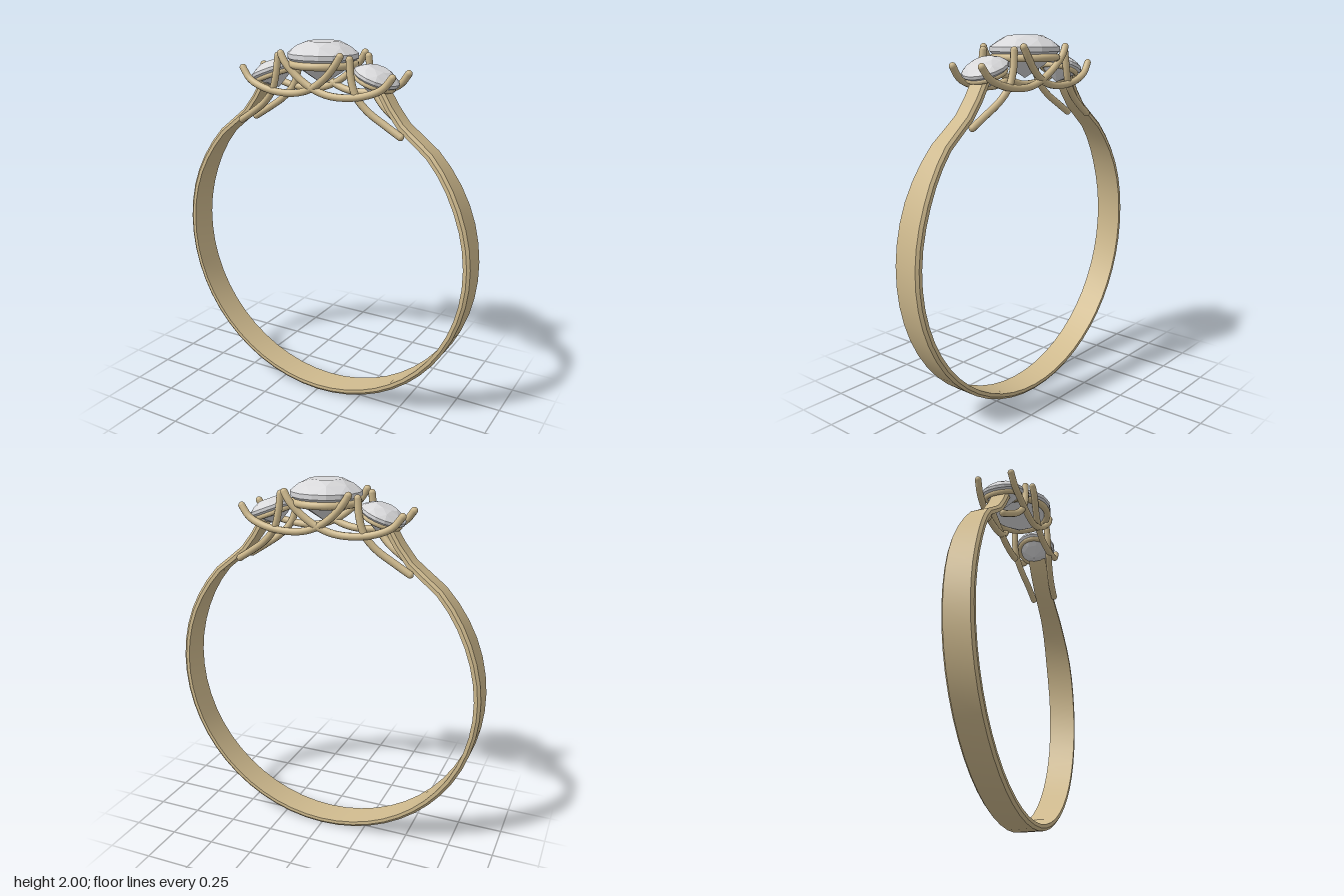
import * as THREE from 'three';
import { toCreasedNormals } from 'three/addons/utils/BufferGeometryUtils.js';
import { ConvexGeometry } from 'three/addons/geometries/ConvexGeometry.js';

const V = (x, y, z) => new THREE.Vector3(x, y, z);

// Faceted round-cut stone: girdle at y = 0, with table, crown, pavilion and culet
function gemGeometry(r, crown, depth, girdle) {
  const pts = [V(0, -depth, 0)];
  const ring = (n, radius, y, turn = 0) => {
    for (let i = 0; i < n; i++) {
      const a = ((i + turn) / n) * Math.PI * 2;
      pts.push(V(Math.cos(a) * radius, y, Math.sin(a) * radius));
    }
  };
  ring(8, r * 0.47, crown);
  ring(8, r * 0.76, crown * 0.66, 0.5);
  ring(16, r, girdle / 2);
  ring(16, r, -girdle / 2);
  ring(8, r * 0.55, -depth * 0.56, 0.5);
  return new ConvexGeometry(pts);
}

// Flat chamfered band swept along an open loop, tapering towards its two ends
function bandGeometry() {
  const half = [V(0.365, 1.785, 0), V(0.425, 1.69, 0), V(0.5, 1.6, 0)];
  for (let i = 0; i <= 10; i++) {
    const a = THREE.MathUtils.degToRad(44 - 13.4 * i);
    half.push(V(0.882 * Math.cos(a), 0.885 + 0.882 * Math.sin(a), 0));
  }
  const other = half.slice(0, -1).reverse().map(p => V(-p.x, p.y, 0));
  half[half.length - 1].x = 0;
  const curve = new THREE.CatmullRomCurve3([...half, ...other]);
  const N = 48, K = 6, pos = [], idx = [];
  for (let i = 0; i <= N; i++) {
    const p = curve.getPointAt(i / N), t = curve.getTangentAt(i / N);
    const w = THREE.MathUtils.lerp(0.079, 0.054, THREE.MathUtils.smoothstep(p.y, 1.15, 1.65));
    // [distance inwards, z] around the cross-section
    const section = [[0, w - 0.012], [0.015, w], [0.034, w], [0.034, -w], [0.015, -w], [0, 0.012 - w]];
    for (const [d, z] of section) pos.push(p.x + t.y * d, p.y - t.x * d, z);
  }
  for (let i = 0; i < N; i++) for (let k = 0; k < K; k++) {
    const a = i * K + k, b = i * K + (k + 1) % K;
    idx.push(a, b, a + K, b, b + K, a + K);
  }
  for (let k = 1; k < K - 1; k++) {
    idx.push(0, k + 1, k);
    idx.push(N * K, N * K + k, N * K + k + 1);
  }
  const g = new THREE.BufferGeometry();
  g.setAttribute('position', new THREE.Float32BufferAttribute(pos, 3));
  g.setIndex(idx);
  // Make sure the faces point outwards
  let volume = 0;
  const P = i => V(pos[i * 3], pos[i * 3 + 1], pos[i * 3 + 2]);
  for (let i = 0; i < idx.length; i += 3) volume += P(idx[i]).dot(P(idx[i + 1]).cross(P(idx[i + 2])));
  if (volume < 0) g.setIndex(idx.reverse());
  return toCreasedNormals(g, 0.45);
}

export function createModel() {
  const model = new THREE.Group();
  model.name = 'threeStoneRing';
  const gold = new THREE.MeshStandardMaterial({ color: 0xcfba8e });
  gold.name = 'pale gold';
  const crystal = new THREE.MeshStandardMaterial({ color: 0xd8d8da });
  crystal.name = 'clear crystal';

  const add = (name, geometry, material, parent = model) => {
    const m = new THREE.Mesh(geometry, material);
    m.name = name;
    parent.add(m);
    return m;
  };

  // Round wire with domed ends
  const wire = (name, points, r) => {
    const g = new THREE.Group();
    g.name = name;
    model.add(g);
    const curve = new THREE.CatmullRomCurve3(points);
    add(name + 'Wire', new THREE.TubeGeometry(curve, 28, r, 10), gold, g);
    for (const p of [points[0], points[points.length - 1]]) {
      add(name + 'Tip', new THREE.SphereGeometry(r, 10, 8), gold, g).position.copy(p);
    }
  };

  add('band', bandGeometry(), gold);

  // Centre stone on its seat ring
  add('centreStone', gemGeometry(0.186, 0.072, 0.15, 0.024), crystal).position.y = 1.928;
  const seat = add('centreSeat', new THREE.TorusGeometry(0.166, 0.02, 10, 36), gold);
  seat.rotation.x = Math.PI / 2;
  seat.position.y = 1.885;

  for (const s of [-1, 1]) {
    const side = s < 0 ? 'right' : 'left';

    // Side stone, tilted outwards, with its own seat ring
    const head = new THREE.Group();
    head.name = side + 'SideHead';
    head.position.set(s * 0.31, 1.835, 0);
    head.rotation.z = -s * 0.36;
    model.add(head);
    add(side + 'SideStone', gemGeometry(0.121, 0.048, 0.095, 0.016), crystal, head);
    const ring = add(side + 'SideSeat', new THREE.TorusGeometry(0.098, 0.014, 8, 28), gold, head);
    ring.rotation.x = Math.PI / 2;
    ring.position.y = -0.028;

    for (const f of [-1, 1]) {
      const end = f > 0 ? 'Front' : 'Back';
      const place = list => list.map(([x, y, z]) => V(s * x, y, f * z));

      // Sweeping prong from the outer side-stone tip, under the centre, to the far centre tip
      wire(side + end + 'SweepProng', place([
        [0.44, 1.85, 0.097], [0.395, 1.795, 0.103], [0.31, 1.757, 0.11], [0.2, 1.738, 0.112],
        [0.09, 1.742, 0.112], [0, 1.772, 0.116], [-0.09, 1.835, 0.128], [-0.145, 1.895, 0.138], [-0.173, 1.94, 0.135],
      ]), 0.019);

      // Rising prong from the shoulder to between the stones
      wire(side + end + 'ShoulderProng', place([
        [0.48, 1.562, 0.068], [0.4, 1.612, 0.075], [0.31, 1.675, 0.09],
        [0.25, 1.745, 0.103], [0.222, 1.83, 0.108], [0.21, 1.925, 0.104],
      ]), 0.019);
    }
  }
  return model;
}
